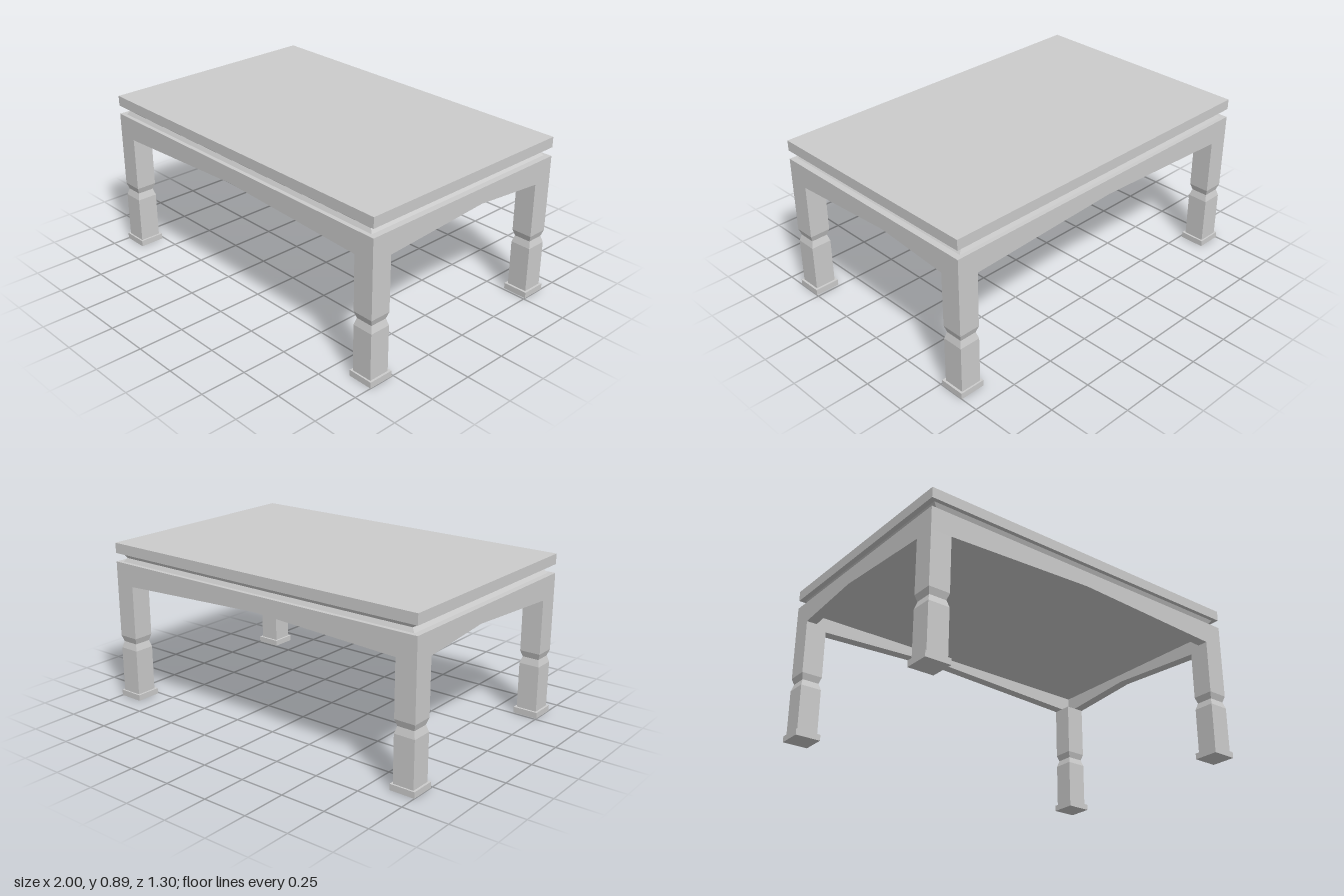
import * as THREE from 'three';

const material = new THREE.MeshStandardMaterial({ color: 0xcccccc, flatShading: true });

// Solid with rectangular cross-sections: rows of [y, halfWidth, halfDepth]
function rectLoft(rows) {
  const pos = [];
  const ring = ([y, w, d]) => [[-w, y, d], [w, y, d], [w, y, -d], [-w, y, -d]];
  const quad = (a, b, c, d) => pos.push(...a, ...b, ...c, ...a, ...c, ...d);
  for (let i = 0; i < rows.length - 1; i++) {
    const lo = ring(rows[i]), hi = ring(rows[i + 1]);
    for (let k = 0; k < 4; k++) {
      const n = (k + 1) % 4;
      quad(lo[k], lo[n], hi[n], hi[k]);
    }
  }
  const bottom = ring(rows[0]), top = ring(rows[rows.length - 1]);
  quad(...top);
  quad(...bottom.reverse());
  const geometry = new THREE.BufferGeometry();
  geometry.setAttribute('position', new THREE.Float32BufferAttribute(pos, 3));
  geometry.computeVertexNormals();
  return geometry;
}

// Apron board with a shallow pointed arch along its lower edge
function apronBoard(half, opening, peak, thickness) {
  const shape = new THREE.Shape([
    [-half, 0.661], [-opening, 0.661], [peak, 0.699], [opening, 0.661],
    [half, 0.661], [half, 0.785], [-half, 0.785],
  ].map(([x, y]) => new THREE.Vector2(x, y)));
  return new THREE.ExtrudeGeometry(shape, { depth: thickness, bevelEnabled: false });
}

export function createModel() {
  const group = new THREE.Group();
  const add = (name, geometry, x = 0, y = 0, z = 0) => {
    const mesh = new THREE.Mesh(geometry, material);
    mesh.name = name;
    mesh.position.set(x, y, z);
    group.add(mesh);
    return mesh;
  };
  const W = 0.988, D = 0.641, T = 0.058;

  // Table top, the grooved waist beneath it and the panel closing the frame
  add('tableTop', new THREE.BoxGeometry(W * 2, 0.057, D * 2), 0, 0.8615, 0);
  add('waist', rectLoft([[0.785, 0.955, 0.618], [0.806, 0.938, 0.606], [0.833, 0.96, 0.618]]));
  add('undersidePanel', new THREE.BoxGeometry((W - T) * 2, 0.04, (D - T) * 2), 0, 0.765, 0);

  // Aprons: long ones front and back, short ones fitted between them
  const longApron = apronBoard(W, 0.873, -0.02, T);
  add('frontApron', longApron, 0, 0, D - T);
  add('backApron', longApron, 0, 0, -D);
  const shortApron = apronBoard(D - T, 0.525, -0.1, T);
  add('leftApron', shortApron, W, 0, 0).rotation.y = -Math.PI / 2;
  add('rightApron', shortApron, -W + T, 0, 0).rotation.y = -Math.PI / 2;

  // Square legs with a pinched collar, each on a wider foot
  const h = 0.058, n = 0.047;
  const leg = rectLoft([[0.033, h, h], [0.288, h, h], [0.325, n, n], [0.36, h, h], [0.661, h, h]]);
  const foot = new THREE.BoxGeometry(0.14, 0.033, 0.139);
  for (const sx of [-1, 1]) {
    for (const sz of [-1, 1]) {
      const name = (sz > 0 ? 'front' : 'back') + (sx > 0 ? 'Left' : 'Right');
      add(name + 'Leg', leg, sx * (W - h), 0, sz * (D - h));
      add(name + 'Foot', foot, sx * 0.93, 0.0165, sz * 0.581);
    }
  }
  return group;
}
